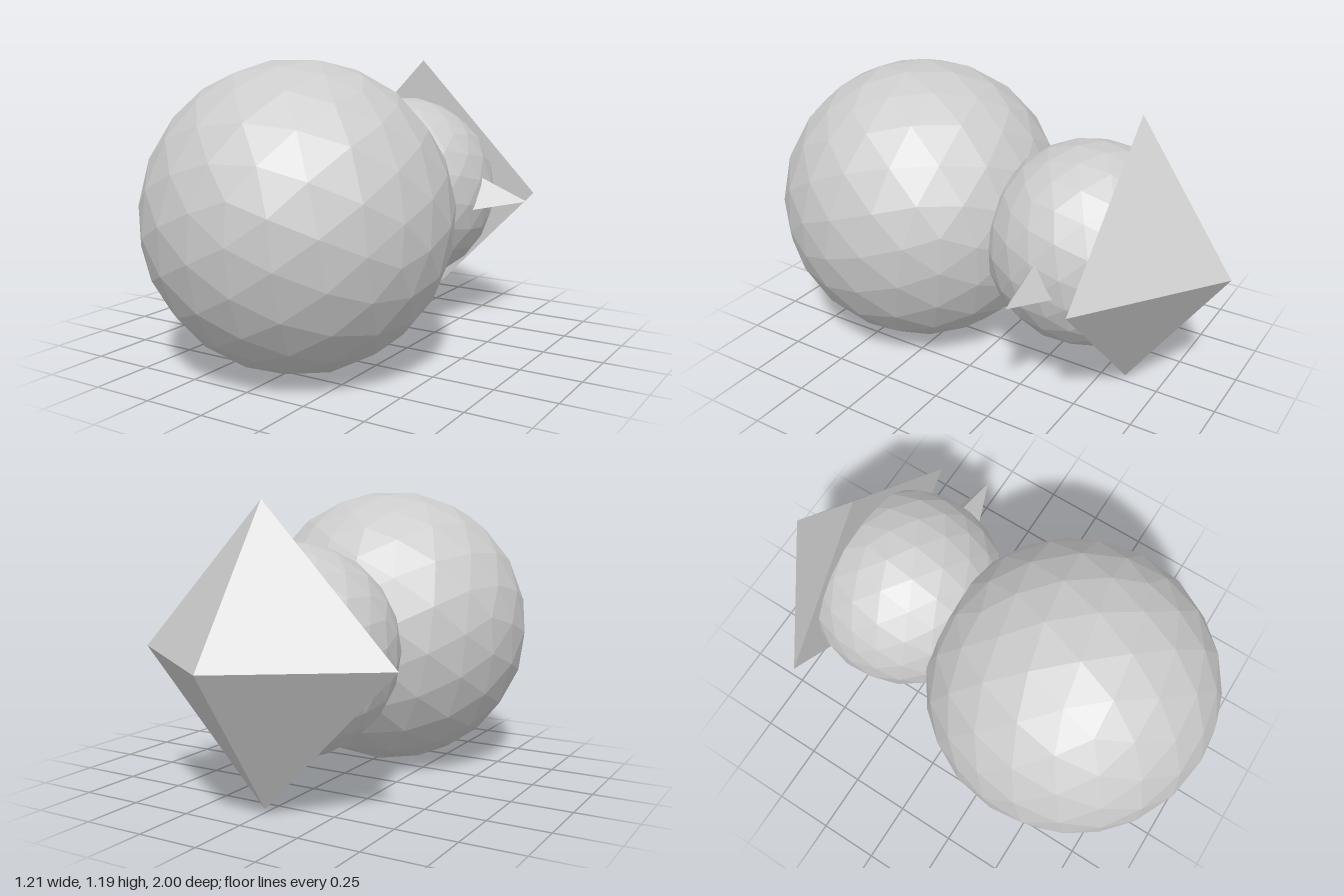
import * as THREE from 'three';

const material = new THREE.MeshStandardMaterial({ color: 0xcccccc, flatShading: true });
const CENTRE_X = -0.01;
const CENTRE_Y = 0.605;

function addPart(group, name, geometry, x, y, z) {
  const mesh = new THREE.Mesh(geometry, material);
  mesh.name = name;
  mesh.position.set(x, y, z);
  group.add(mesh);
  return mesh;
}

// Faceted ball, tilted so its facets look irregular
function ball(radius, tiltX, tiltY) {
  return new THREE.IcosahedronGeometry(radius, 3).rotateX(tiltX).rotateY(tiltY);
}

export function createModel() {
  const group = new THREE.Group();
  group.name = 'snowman';

  // Two snowballs, lying along z
  addPart(group, 'body', ball(0.603, 0.3, 0.2), CENTRE_X, CENTRE_Y, 0.4);
  addPart(group, 'head', ball(0.416, 0.7, 0.5), CENTRE_X, CENTRE_Y, -0.41);

  // Four-sided pyramid hat, corners on the x and y axes, tip towards -z
  const hat = new THREE.ConeGeometry(0.566, 0.395, 4).rotateX(-Math.PI / 2);
  hat.scale(0.985, 1.015, 1);
  addPart(group, 'hat', hat, CENTRE_X, CENTRE_Y, -0.8025);

  // Three-sided pointed nose on the +x side, one edge upward
  const nose = new THREE.ConeGeometry(0.1, 0.24, 3)
    .rotateY(-Math.PI / 2)
    .rotateZ(-Math.PI / 2);
  nose.computeBoundingBox();
  // turn the nose so a base corner points up
  if (nose.boundingBox.max.y < 0.09) nose.rotateX(Math.PI);
  addPart(group, 'nose', nose, 0.48, 0.602, -0.393);

  return group;
}
